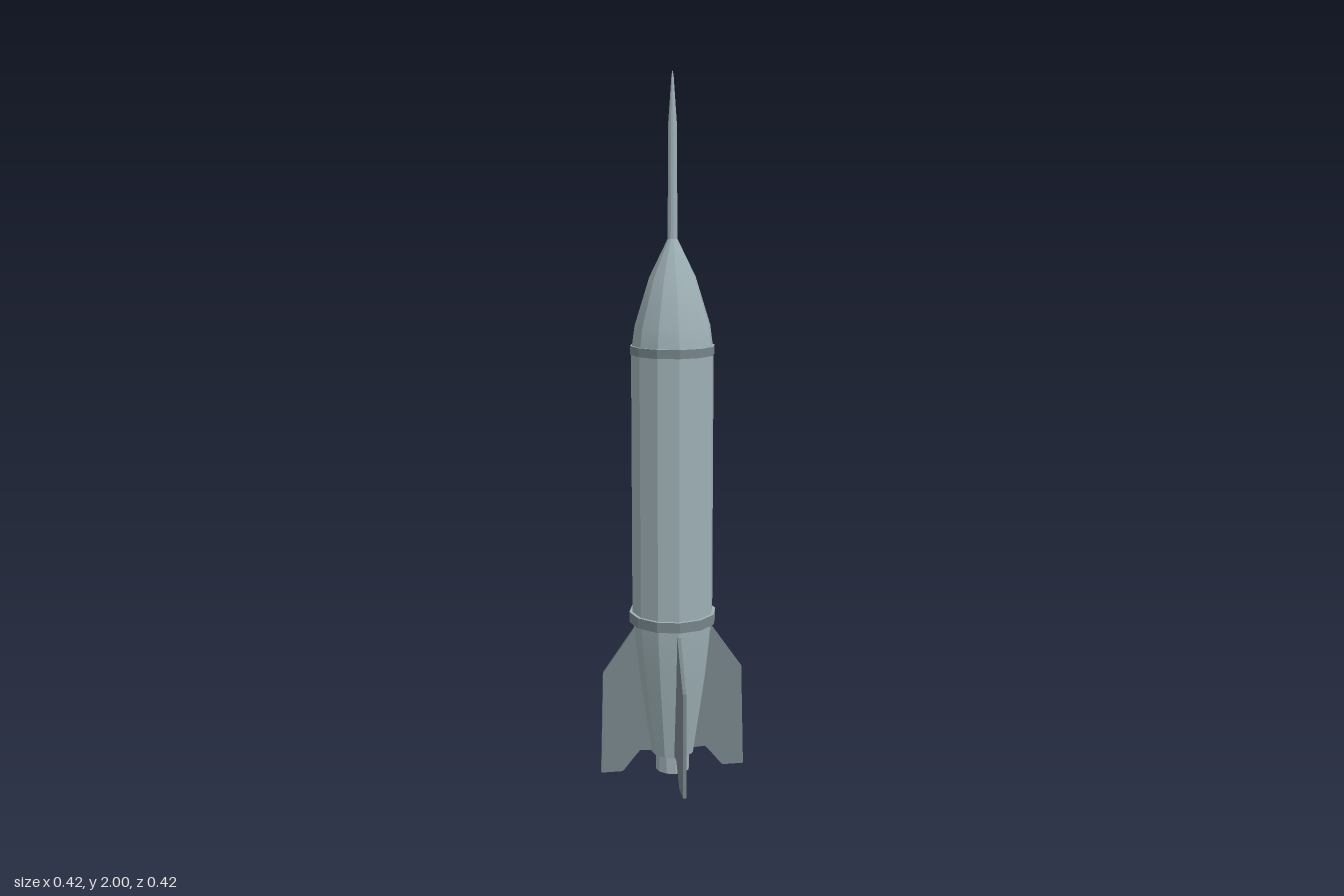
import * as THREE from 'three';
import { toCreasedNormals } from 'three/addons/utils/BufferGeometryUtils.js';

const SIDES = 12;
const CREASE = THREE.MathUtils.degToRad(25);

export function createModel() {
  const model = new THREE.Group();
  model.name = 'rocket';
  const light = new THREE.MeshStandardMaterial({ color: 0x9eb0b5 });
  const dark = new THREE.MeshStandardMaterial({ color: 0x768489 });

  const add = (name, geometry, material, parent = model) => {
    const mesh = new THREE.Mesh(geometry, material);
    mesh.name = name;
    parent.add(mesh);
    return mesh;
  };
  // Solid of revolution, faceted around and smooth lengthwise; profile of [radius, height] going up
  const turned = (name, profile) => {
    const points = profile.map(([r, y]) => new THREE.Vector2(r, y));
    return add(name, toCreasedNormals(new THREE.LatheGeometry(points, SIDES), CREASE), light);
  };
  // Band with a dark rim and light end faces
  const band = (name, radius, bottom, top) => {
    const geometry = new THREE.CylinderGeometry(radius, radius, top - bottom, SIDES);
    const creased = toCreasedNormals(geometry, CREASE);
    add(name, creased, [dark, light, light]).position.y = (top + bottom) / 2;
  };

  // Engine and tapered tail
  turned('nozzle', [[0, 0], [0.05, 0], [0.05, 0.06], [0, 0.06]]);
  turned('tailCone', [[0, 0.055], [0.063, 0.055], [0.098, 0.29], [0.112, 0.42], [0.114, 0.46], [0, 0.46]]);

  // Main tube with its two bands
  turned('body', [[0, 0.46], [0.117, 0.46], [0.117, 1.24], [0, 1.24]]);
  band('lowerBand', 0.126, 0.455, 0.485);
  band('upperBand', 0.12, 1.23, 1.255);

  // Nose and spike
  turned('noseCone', [[0, 1.24], [0.116, 1.24], [0.113, 1.265], [0.107, 1.31], [0.065, 1.445], [0.013, 1.55], [0, 1.555]]);
  turned('spike', [[0, 1.53], [0.014, 1.53], [0.012, 1.86], [0.003, 1.985], [0, 2]]);

  // Four fins, their inner edge buried in the tail
  const outline = [
    [0.06, 0.06], [0.097, 0.062], [0.112, 0.045], [0.145, 0.004], [0.15, 0],
    [0.212, 0], [0.204, 0.305], [0.11, 0.44], [0.09, 0.44],
  ].map(([x, y]) => new THREE.Vector2(x, y));
  const thickness = 0.01;
  const finGeometry = new THREE.ExtrudeGeometry(new THREE.Shape(outline), { depth: thickness, bevelEnabled: false });
  finGeometry.translate(0, 0, -thickness / 2);
  const fins = new THREE.Group();
  fins.name = 'fins';
  for (let i = 0; i < 4; i++) add('fin', finGeometry, dark, fins).rotation.y = (i * Math.PI) / 2;
  model.add(fins);

  return model;
}
